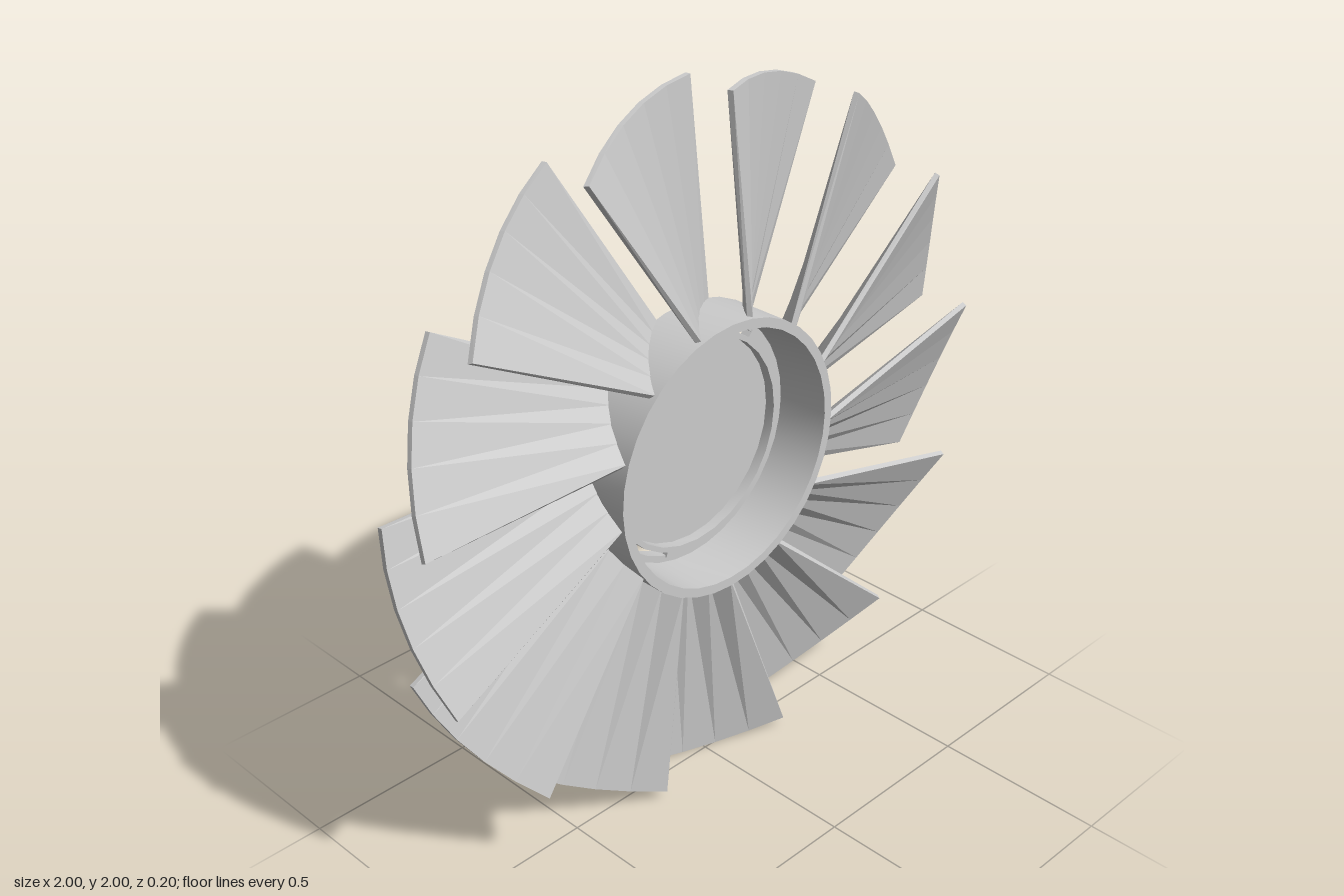
import * as THREE from 'three';
import { toCreasedNormals } from 'three/addons/utils/BufferGeometryUtils.js';

const BLADES = 13, STEPS = 5;
const ROOT_R = 0.378, TIP_R = 1.0;
const deg = THREE.MathUtils.degToRad;
const SPAN = deg(29), LEAN = deg(-12), THICK = 0.015;

// Centre line of the blade section: steep at the front edge, flatter at the back.
const sectionZ = t => 0.084 - 0.166 * t * (1.5 - 0.5 * t);

// Closed blade section at one radius; the angle runs clockwise towards the back.
function section(radius, lean) {
  const front = [], back = [];
  for (let i = 0; i <= STEPS; i++) {
    const t = i / STEPS;
    const slope = new THREE.Vector2(SPAN * radius, -0.166 * (1.5 - t)).normalize();
    for (const [side, list] of [[1, front], [-1, back]]) {
      const along = -slope.y * side * THICK / 2;
      const z = sectionZ(t) + slope.x * side * THICK / 2;
      const a = Math.PI / 2 + lean - t * SPAN - along / radius;
      list.push(new THREE.Vector3(radius * Math.cos(a), radius * Math.sin(a), z));
    }
  }
  return [...front, ...back.reverse()];
}

// Twisted plate lofted between the root and tip sections, with closed ends.
function bladeGeometry() {
  const root = section(ROOT_R, LEAN), tip = section(TIP_R, 0);
  const n = root.length, pos = [];
  const quad = (a, b, c, d) => {
    for (const p of [a, b, c, a, c, d]) pos.push(p.x, p.y, p.z);
  };
  for (let i = 0; i < n; i++) {
    const j = (i + 1) % n;
    quad(root[i], root[j], tip[j], tip[i]);
  }
  for (let i = 0; i < STEPS; i++) {
    const k = n - 1 - i;
    quad(tip[i], tip[i + 1], tip[k - 1], tip[k]);
    quad(root[k], root[k - 1], root[i + 1], root[i]);
  }
  const geo = new THREE.BufferGeometry();
  geo.setAttribute('position', new THREE.Float32BufferAttribute(pos, 3));
  geo.computeVertexNormals();
  return geo;
}

// Turned part around the z axis from [radius, z] points.
function turned(points, segments) {
  const geo = new THREE.LatheGeometry(points.map(p => new THREE.Vector2(...p)), segments);
  geo.rotateX(Math.PI / 2);
  return toCreasedNormals(geo, deg(30));
}

// Curved block between two radii, used for the locking tabs.
function arcBlock(inner, outer, angle, depth) {
  const shape = new THREE.Shape();
  shape.absarc(0, 0, outer, -angle / 2, angle / 2, false);
  shape.absarc(0, 0, inner, angle / 2, -angle / 2, true);
  return new THREE.ExtrudeGeometry(shape, { depth, bevelEnabled: false, curveSegments: 5 });
}

export function createModel() {
  const model = new THREE.Group();
  model.name = 'fanImpeller';
  const material = new THREE.MeshStandardMaterial({ color: 0xcccccc });
  const rotor = new THREE.Group();
  rotor.name = 'rotor';
  rotor.position.y = 1;
  model.add(rotor);
  const add = (name, geo) => {
    const mesh = new THREE.Mesh(geo, material);
    mesh.name = name;
    rotor.add(mesh);
    return mesh;
  };

  // Blades
  const blade = bladeGeometry();
  for (let i = 0; i < BLADES; i++) {
    add('blade', blade).rotation.z = i * 2 * Math.PI / BLADES;
  }

  // Hollow hub, open to the front, with an inward flange at the back
  add('hub', turned([
    [0.335, -0.09], [0.37, -0.09], [0.392, -0.08], [0.392, 0.1],
    [0.365, 0.1], [0.355, -0.055], [0.335, -0.055], [0.335, -0.09],
  ], 36));

  // Round cap closing the back of the hub
  add('cap', turned([
    [0, -0.1], [0.305, -0.1], [0.315, -0.095], [0.315, -0.03],
    [0.3, -0.03], [0.3, -0.06], [0, -0.06],
  ], 28));

  // Locking tabs bridging the gap between cap and flange
  const tab = arcBlock(0.308, 0.34, deg(34), 0.03);
  for (let i = 0; i < 6; i++) {
    const mesh = add('lockingTab', tab);
    mesh.rotation.z = deg(30 + i * 60);
    mesh.position.z = -0.08;
  }

  return model;
}
